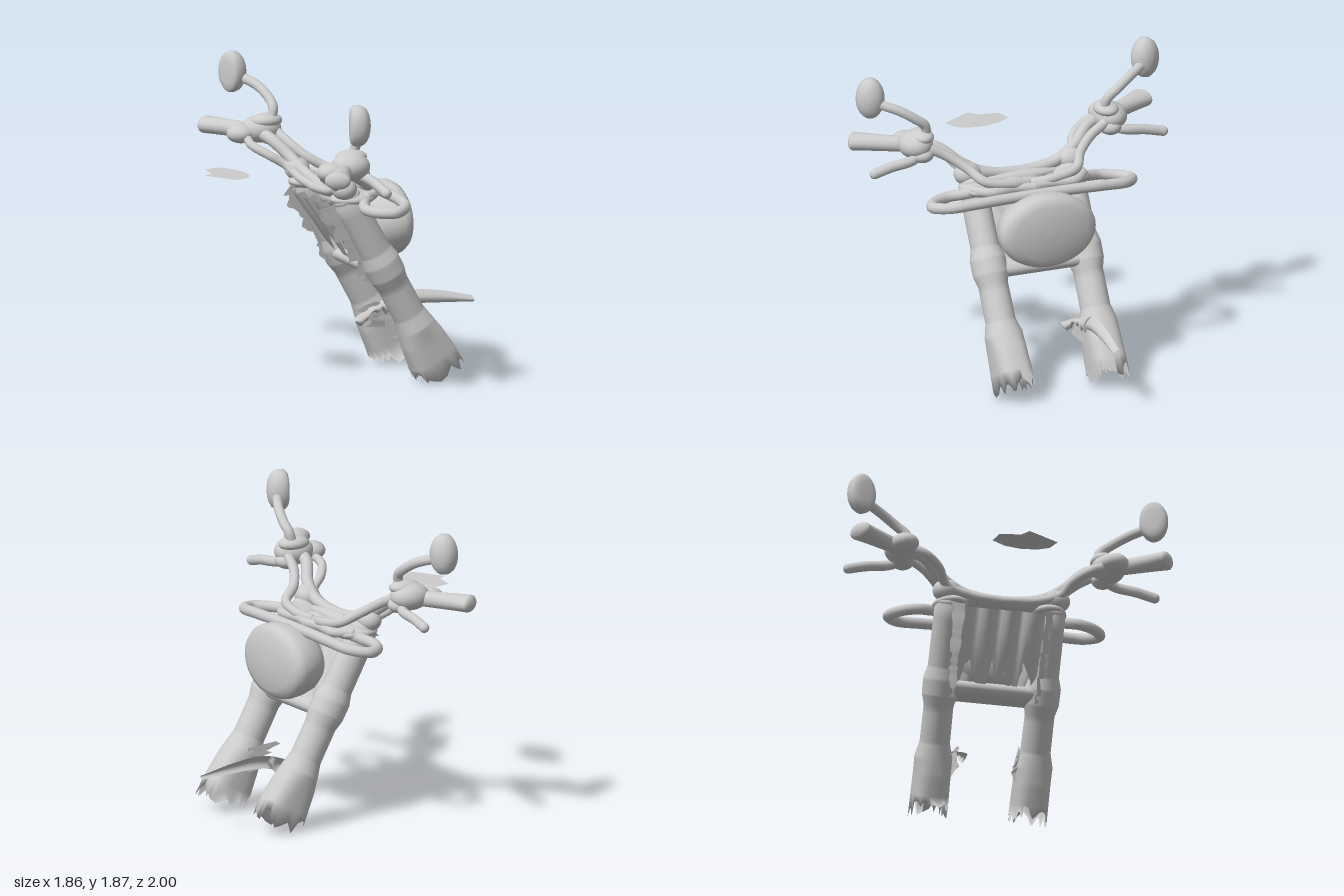
import * as THREE from 'three';
import { ParametricGeometry } from 'three/addons/geometries/ParametricGeometry.js';

const mat = new THREE.MeshStandardMaterial({ color: 0xcccccc, roughness: 0.7, side: THREE.DoubleSide });
const V = (x, y, z) => new THREE.Vector3(x, y, z);
// repeatable pseudo-random value in 0..1
const hash = n => { const s = Math.sin(n * 127.1 + 3.7) * 43758.5; return s - Math.floor(s); };
const lathe = (pts, n) => new THREE.LatheGeometry(pts.map(p => new THREE.Vector2(...p)), n);

export function createModel() {
  const root = new THREE.Group();

  const add = (geo, name) => {
    const m = new THREE.Mesh(geo, mat);
    m.name = name;
    root.add(m);
    return m;
  };
  const blob = (name, c, r, rot = [0, 0, 0]) => {
    const m = add(new THREE.SphereGeometry(1, 28, 18), name);
    m.position.set(...c);
    m.scale.set(...r);
    m.rotation.set(...rot);
  };
  // round-ended tube through points; s mirrors it in z
  const tube = (name, pts, r, s = 1) => {
    const p = pts.map(([x, y, z]) => V(x, y, z * s));
    add(new THREE.TubeGeometry(new THREE.CatmullRomCurve3(p), p.length * 10, r, 12), name);
    for (const e of [p[0], p[p.length - 1]]) blob(name + 'End', e.toArray(), [r, r, r]);
  };
  const sheet = (name, f, nu, nv) =>
    add(new ParametricGeometry((u, v, t) => t.copy(f(u, v)), nu, nv), name);

  // raked fork frame: a runs down the leg, b runs forward from it
  const rake = (a, b, z) => V(-0.13 + 0.485 * a + 0.875 * b, 1.18 - 0.875 * a + 0.485 * b, z);

  // leg sections: distance down, half depth, half width, squareness
  const legRows = [
    [-0.02, 0.08, 0.075, 0], [0.02, 0.095, 0.085, 0], [0.38, 0.097, 0.087, 0], [0.45, 0.115, 0.108, 0],
    [0.55, 0.115, 0.108, 0], [0.62, 0.1, 0.09, 0], [0.84, 0.1, 0.092, 0], [0.93, 0.118, 0.115, 0.1],
    [1.02, 0.135, 0.11, 0.4], [1.2, 0.155, 0.108, 0.65],
  ];
  const N = 40;
  for (const s of [1, -1]) {
    // fork leg with a ragged open foot
    sheet('forkLeg', (u, v) => {
      const k = Math.min(v * 9, 8.9999), i = Math.floor(k), f = k - i;
      const [a, d, w, q] = legRows[i].map((x, j) => x + (legRows[i + 1][j] - x) * f);
      const th = u * Math.PI * 2, c = Math.cos(th);
      const pw = x => Math.sign(x) * Math.pow(Math.abs(x), 1 - q * 0.6);
      const rag = v > 0.999 ? 0.09 * (hash(Math.round(u * N) % N + s * 50) - 0.35) + 0.05 * Math.min(1, 1 + c) : 0;
      return rake(a + rag, d * pw(c), s * (0.32 - 0.012 * v) + w * pw(Math.sin(th)));
    }, N, 45);
    blob('forkCap', rake(-0.01, 0, s * 0.318).toArray(), [0.088, 0.045, 0.083], [0, 0, 0.5]);

    // ragged flange along the back of each upper leg, narrowing downward
    sheet('rearFlange', (u, v) => rake(-0.02 + u * 0.57,
      -0.04 - v * (0.1 - 0.05 * u + 0.06 * hash(Math.round(u * 26) + s * 9)), s * (0.25 + 0.1 * (1 - v))), 26, 1);

    // torn fender mount inside each lower leg
    sheet('fenderMount', (u, v) => V(0.36 - v * (0.06 + 0.17 * hash(Math.round(u * 9) + s * 4)),
      0.25 + u * 0.15 + 0.02 * v, s * (0.2 - 0.035 * v * hash(Math.round(u * 9) + 30))), 9, 1);

    // grip, flattened and spreading sideways toward its end
    const axis = V(-0.53, 0.01, s * 0.85).normalize(), side = V(s * 0.85, 0, 0.53).normalize();
    sheet('grip', (u, v) => {
      const th = u * Math.PI * 2, t = Math.min(v / 0.92, 1);
      const close = v > 0.92 ? Math.sqrt(Math.max(1 - ((v - 0.92) / 0.08) ** 2, 0.0001)) : 1;
      const wide = (0.046 + 0.034 * t * t) * close, high = (0.046 + 0.007 * t) * close;
      return V(-0.28, 1.435, s * 0.62).addScaledVector(axis, 0.42 * v)
        .addScaledVector(side, wide * Math.cos(th)).add(V(0, high * Math.sin(th), 0));
    }, 24, 50);

    // control cluster
    blob('controlHousing', [-0.26, 1.45, s * 0.64], [0.125, 0.085, 0.105]);
    blob('switchBox', [-0.39, 1.43, s * 0.65], [0.09, 0.06, 0.085]);
    blob('masterCylinder', [-0.24, 1.505, s * 0.61], [0.1, 0.045, 0.075]);
    blob('leverPivot', [-0.2, 1.4, s * 0.62], [0.075, 0.05, 0.07]);
    tube('lever', [[-0.22, 1.4, 0.62], [-0.17, 1.38, 0.7], [-0.165, 1.36, 0.84], [-0.16, 1.335, 0.95]], 0.031, s);

    // mirror: rounded front, flatter glass side facing back and inward
    tube('mirrorStem', [[-0.22, 1.5, 0.59], [-0.2, 1.58, 0.6], [-0.2, 1.63, 0.66],
      [-0.23, 1.69, 0.76], [-0.29, 1.73, 0.87]], 0.03, s);
    const mirror = add(lathe([[0, -0.055], [0.5, -0.055], [0.82, -0.05], [0.96, -0.033], [1, -0.005],
      [0.95, 0.025], [0.8, 0.048], [0.55, 0.064], [0.28, 0.072], [0, 0.075]], 32), 'mirror');
    mirror.rotation.set(0, -s * 0.35, -Math.PI / 2, 'YXZ');
    mirror.scale.set(0.128, 1, 0.088);
    mirror.position.set(-0.328, 1.76, s * 0.907);

    // handlebar and hoses
    tube('handlebar', [[-0.3, 1.44, 0.66], [-0.26, 1.41, 0.5], [-0.19, 1.32, 0.38],
      [-0.16, 1.25, 0.25], [-0.155, 1.22, 0.1], [-0.155, 1.215, 0]], 0.037, s);
    tube('rearHose', [[-0.37, 1.42, 0.62], [-0.38, 1.38, 0.52], [-0.31, 1.33, 0.42],
      [-0.22, 1.27, 0.36], [-0.2, 1.22, 0.22], [-0.2, 1.2, 0]], 0.027, s);
    tube('frontHose', [[-0.18, 1.43, 0.57], [-0.15, 1.38, 0.47], [-0.08, 1.31, 0.37],
      [0.02, 1.25, 0.3], [0.05, 1.22, 0.14], [0.02, 1.2, 0.03]], 0.03, s);
    blob('barRiser', [-0.16, 1.25, s * 0.34], [0.075, 0.07, 0.085]);
    blob('topClampLobe', [-0.09, 1.18, s * 0.3], [0.14, 0.045, 0.115]);
    tube('clampEdge', [[-0.02, 1.19, 0.36], [0.06, 1.19, 0.28], [0.05, 1.19, 0.12], [0.07, 1.19, 0]], 0.03, s);
  }

  // large cable loop, open at the middle of its rear run
  const half = [[0.168, 1.178, 0.2], [0.165, 1.172, 0.42], [0.135, 1.158, 0.58], [0.04, 1.143, 0.655],
    [-0.05, 1.14, 0.6], [-0.09, 1.145, 0.5], [-0.06, 1.16, 0.41], [-0.02, 1.18, 0.34]];
  tube('cableLoop', [...half.slice().reverse(), ...half.map(([x, y, z]) => [x, y, -z])], 0.034);

  // headlight: a lathed shell turned forward, wider than tall
  const light = add(lathe([[0, 0.04], [0.45, 0.05], [0.72, 0.085], [0.88, 0.14], [0.97, 0.21], [1, 0.265],
    [0.98, 0.3], [0.9, 0.328], [0.75, 0.343], [0.5, 0.355], [0.25, 0.362], [0, 0.364]], 48), 'headlight');
  light.rotation.z = -Math.PI / 2;
  light.scale.set(0.23, 1, 0.313);
  light.position.y = 0.98;

  // lower clamp and ragged steering shell between the legs
  const clamp = add(new THREE.CapsuleGeometry(0.055, 0.56, 8, 20), 'lowerClamp');
  clamp.rotation.x = Math.PI / 2;
  clamp.scale.x = 1.7;
  clamp.position.set(0.12, 0.725, 0);
  sheet('steeringShell', (u, v) => rake(
    v * 0.48 + (v > 0.99 ? 0.06 * hash(Math.round(u * 24) + 70) : 0),
    0.02 + 0.05 * Math.cos((u - 0.5) * Math.PI) + 0.015 * Math.sin(u * 19 + v * 7), (u - 0.5) * 0.52), 24, 8);
  sheet('tornRearShell', (u, v) => rake(v * (0.3 + 0.22 * hash(Math.round(u * 22) + 11)),
    -0.06 - 0.06 * Math.abs(Math.sin(u * 13)) * (1 - v), (u - 0.5) * 0.6), 22, 4);
  blob('steeringHead', [-0.06, 1.14, 0], [0.09, 0.07, 0.16]);
  blob('instrument', [-0.06, 1.18, 0.08], [0.06, 0.04, 0.09]);
  blob('centreClamp', [-0.15, 1.2, 0], [0.07, 0.04, 0.28]);

  // remaining edge of the front fender, on the right side only
  const crest = new THREE.CatmullRomCurve3([V(0.14, 0.33, -0.17), V(0.32, 0.41, -0.2),
    V(0.52, 0.468, -0.2), V(0.73, 0.45, -0.19), V(0.93, 0.405, -0.175)]);
  sheet('fenderEdge', (u, v) => {
    const p = crest.getPoint(u);
    const drop = 0.035 + 0.05 * Math.sin(u * Math.PI) + (u < 0.4 ? 0.07 * (hash(Math.round(u * 30)) - 0.4) : 0);
    return p.add(V(0, -drop * v, 0.04 * Math.sin(v * Math.PI * 0.8) - 0.01));
  }, 30, 6);

  // loose plate behind the bars
  const plate = new THREE.Shape([[-0.93, 0], [-0.87, -0.04], [-0.85, -0.17], [-0.75, -0.19], [-0.69, -0.1],
    [-0.67, 0.0], [-0.68, 0.1], [-0.72, 0.17], [-0.81, 0.2]].map(p => new THREE.Vector2(...p)));
  const pm = add(new THREE.ShapeGeometry(plate), 'loosePlate');
  pm.rotation.x = Math.PI / 2;
  pm.position.y = 1.335;

  return root;
}
